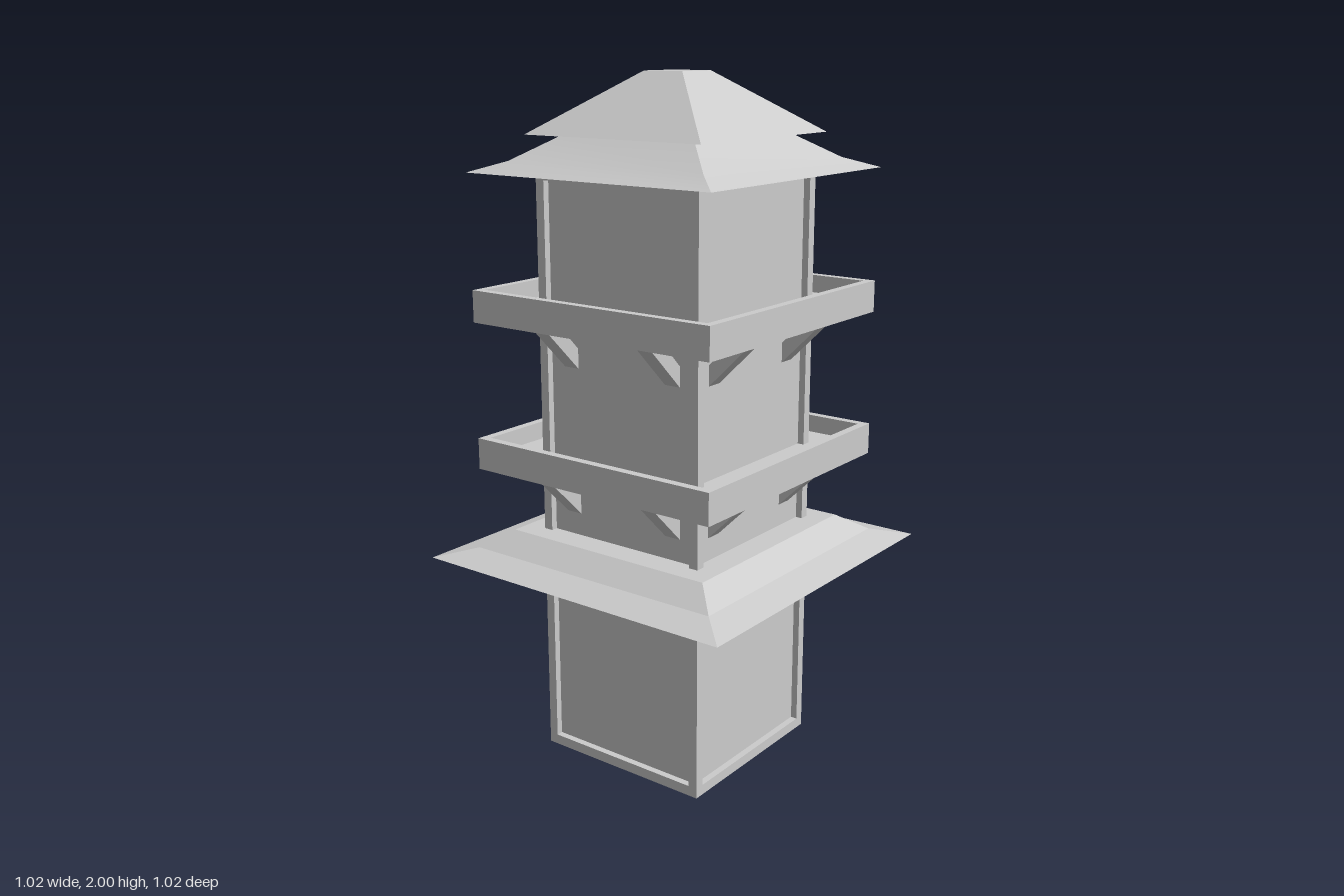
import * as THREE from 'three';
import { toCreasedNormals } from 'three/addons/utils/BufferGeometryUtils.js';

const material = new THREE.MeshStandardMaterial({ color: 0xcccccc, side: THREE.DoubleSide });

function add(parent, name, geometry) {
  const mesh = new THREE.Mesh(geometry, material);
  mesh.name = name;
  parent.add(mesh);
  return mesh;
}

// Square solid from a profile of [half width, height], bottom to top
function squareLathe(profile) {
  const points = profile.map(([r, y]) => new THREE.Vector2(r * Math.SQRT2, y));
  const geometry = new THREE.LatheGeometry(points, 4).rotateY(Math.PI / 4);
  return toCreasedNormals(geometry, 0.33);
}

const HALF = 0.278, INNER = 0.25, DEPTH = 0.02;
const BOTTOM = 0.03, TOP = 1.71, HEIGHT = 1.74;

// One tower side: flat border, shallow reveals and a recessed panel
function createWall() {
  const wall = new THREE.Group();
  wall.name = 'wall';
  const shape = new THREE.Shape([
    new THREE.Vector2(-HALF, 0), new THREE.Vector2(HALF, 0),
    new THREE.Vector2(HALF, HEIGHT), new THREE.Vector2(-HALF, HEIGHT),
  ]);
  shape.holes.push(new THREE.Path([
    new THREE.Vector2(-INNER, BOTTOM), new THREE.Vector2(-INNER, TOP),
    new THREE.Vector2(INNER, TOP), new THREE.Vector2(INNER, BOTTOM),
  ]));
  add(wall, 'wallFrame', new THREE.ShapeGeometry(shape)).position.z = HALF;

  const h = TOP - BOTTOM, midY = (TOP + BOTTOM) / 2, midZ = HALF - DEPTH / 2;
  add(wall, 'wallPanel', new THREE.PlaneGeometry(2 * INNER, h))
    .position.set(0, midY, HALF - DEPTH);
  for (const s of [-1, 1]) {
    add(wall, 'sideReveal', new THREE.PlaneGeometry(DEPTH, h).rotateY(-s * Math.PI / 2))
      .position.set(s * INNER, midY, midZ);
    add(wall, 'edgeReveal', new THREE.PlaneGeometry(2 * INNER, DEPTH).rotateX(s * Math.PI / 2))
      .position.set(0, s > 0 ? TOP : BOTTOM, midZ);
  }
  return wall;
}

// Slanted strut, its top at y = 0 and its foot in the wall
function createBracketGeometry() {
  const w = 0.05;
  const shape = new THREE.Shape([
    new THREE.Vector2(0.255, -0.128), new THREE.Vector2(0.385, 0),
    new THREE.Vector2(0.325, 0), new THREE.Vector2(0.255, -0.07),
  ]);
  return new THREE.ExtrudeGeometry(shape, { depth: w, bevelEnabled: false })
    .translate(0, 0, -w / 2)
    .rotateY(-Math.PI / 2);
}

export function createModel() {
  const model = new THREE.Group();
  model.name = 'pagodaTower';

  // Hollow tower, open at the bottom
  for (let i = 0; i < 4; i++) {
    const wall = createWall();
    wall.rotation.y = i * Math.PI / 2;
    model.add(wall);
  }

  // Roofs with flared eaves and flat undersides
  add(model, 'lowerRoof', squareLathe([
    [0, 0.62], [0.512, 0.62], [0.415, 0.645], [0.34, 0.695], [0, 0.695],
  ]));
  add(model, 'upperRoof', squareLathe([
    [0, 1.732], [0.412, 1.732], [0.33, 1.762], [0.225, 1.83], [0, 1.83],
  ]));
  add(model, 'topRoof', squareLathe([
    [0, 1.832], [0.298, 1.832], [0.065, 2], [0, 2],
  ]));

  // Balconies: trays with a raised rim, two brackets under every side
  const tray = squareLathe([
    [0, 0], [0.408, 0], [0.408, 0.092], [0.383, 0.092], [0.383, 0.04], [0, 0.04],
  ]);
  const bracketGeometry = createBracketGeometry();
  for (const y of [0.886, 1.316]) {
    const balcony = new THREE.Group();
    balcony.name = 'balcony';
    balcony.position.y = y;
    add(balcony, 'balconyTray', tray);
    for (let i = 0; i < 4; i++) {
      const side = new THREE.Group();
      side.name = 'bracketPair';
      side.rotation.y = i * Math.PI / 2;
      for (const s of [-1, 1]) {
        add(side, 'bracket', bracketGeometry).position.x = s * 0.178;
      }
      balcony.add(side);
    }
    model.add(balcony);
  }
  return model;
}
